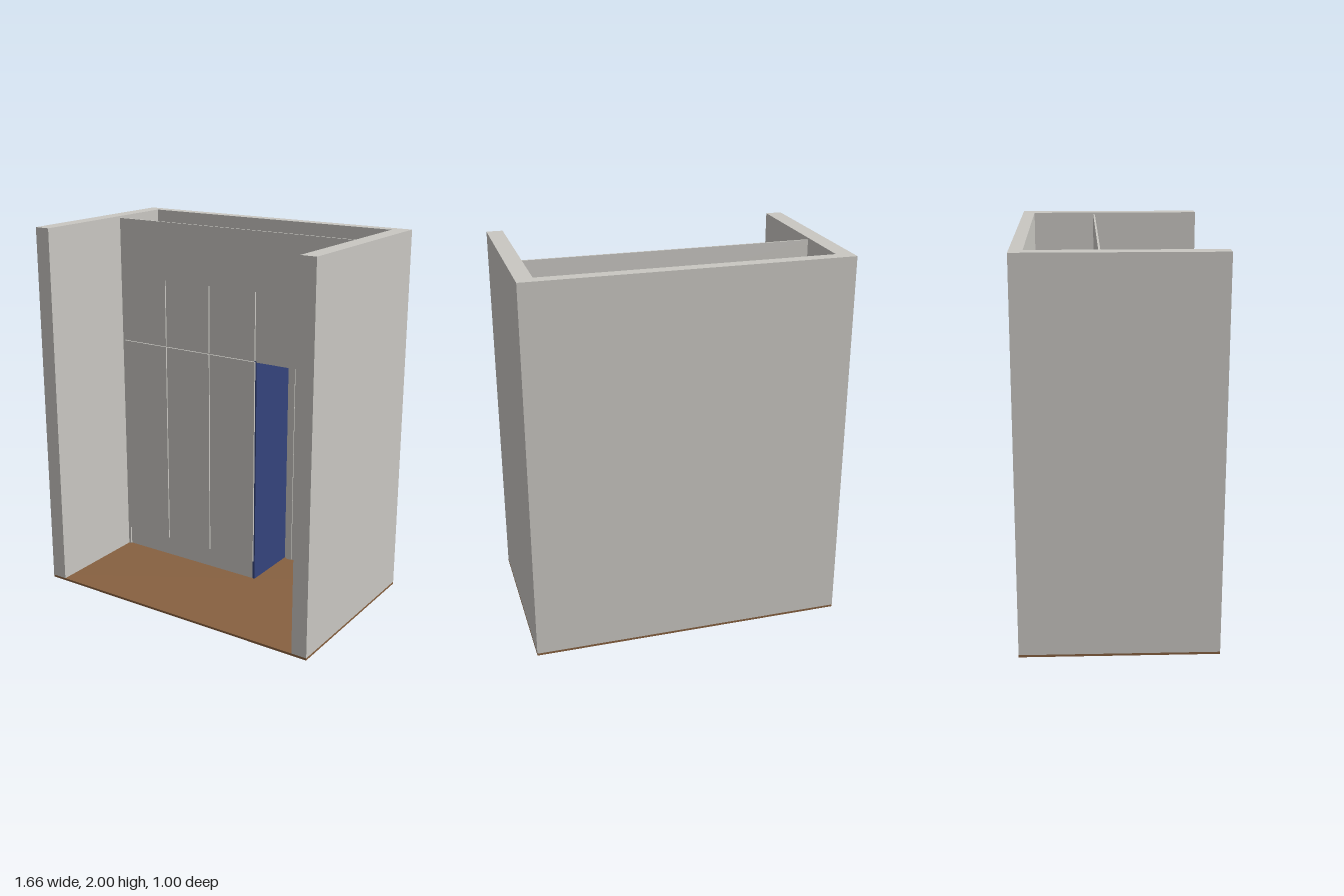
import * as THREE from 'three';

export function createModel() {
  const group = new THREE.Group();
  const mat = (name, color) => {
    const m = new THREE.MeshStandardMaterial({ color });
    m.name = name;
    return m;
  };
  const grey = mat('warm grey', 0xc9c7c2);
  const brown = mat('wood brown', 0x876140);
  const blue = mat('navy blue', 0x34437c);

  // Box given by its lower and upper limits on each axis
  const box = (name, x0, x1, y0, y1, z0, z1, material = grey) => {
    const mesh = new THREE.Mesh(new THREE.BoxGeometry(x1 - x0, y1 - y0, z1 - z0), material);
    mesh.position.set((x0 + x1) / 2, (y0 + y1) / 2, (z0 + z1) / 2);
    mesh.name = name;
    group.add(mesh);
    return mesh;
  };

  const wallBack = -0.435, carcassFront = -0.095, doorFront = -0.085;
  const floorTop = 0.012, doorBottom = 0.12, split = 1.293, cabinetTop = 1.67;
  const inner = 0.745, outer = 0.83;

  // Room shell
  box('floor', -outer, outer, 0, floorTop, -0.5, 0.5, brown);
  box('rightWall', -outer, -inner, floorTop, 2, -0.5, 0.5);
  box('leftWall', inner, outer, floorTop, 2, -0.5, 0.5);
  box('backWall', -inner, inner, floorTop, 2, -0.5, wallBack);

  // Fascia above the cabinets and filler strip beside them
  box('fascia', -inner, inner, cabinetTop, 1.99, carcassFront, doorFront);
  box('fillerStrip', -inner, -0.73, floorTop, cabinetTop, carcassFront, doorFront);

  // Cabinet carcass
  box('sidePanel', 0.143, 0.156, floorTop, cabinetTop, wallBack, carcassFront, blue);
  box('outerPanel', -0.73, -0.718, floorTop, cabinetTop, wallBack, carcassFront);
  box('endPanel', 0.731, 0.743, split, cabinetTop, wallBack, carcassFront);
  box('plinth', -0.73, 0.143, floorTop, doorBottom, -0.11, carcassFront);
  for (const [x0, x1] of [[-0.718, 0.143], [0.156, 0.731]]) {
    box('cabinetTop', x0, x1, cabinetTop - 0.012, cabinetTop, wallBack, carcassFront);
    box('cabinetDeck', x0, x1, split - 0.006, split + 0.006, wallBack, carcassFront);
  }
  box('cabinetBottom', -0.718, 0.143, doorBottom - 0.012, doorBottom, wallBack, carcassFront);
  for (const x of [-0.437, -0.145]) {
    box('partition', x - 0.006, x + 0.006, doorBottom, cabinetTop - 0.012, wallBack, carcassFront);
  }

  // Flush doors: three tall ones and five upper ones, with narrow gaps
  const seams = [-0.733, -0.437, -0.145, 0.151, 0.447, 0.746];
  const gap = 0.003;
  for (let i = 0; i < 5; i++) {
    const x0 = seams[i] + gap, x1 = seams[i + 1] - gap;
    box('upperDoor', x0, x1, split + gap, cabinetTop, carcassFront, doorFront);
    if (i < 3) box('tallDoor', x0, x1, doorBottom, split - gap, carcassFront, doorFront);
  }

  // Room door on the back wall, inside the open recess
  const frame = [0.17, 0.732, 1.25], leaf = [0.205, 0.69, 1.21];
  box('doorFrameRight', frame[0], leaf[0], floorTop, frame[2], wallBack, wallBack + 0.012);
  box('doorFrameLeft', leaf[1], frame[1], floorTop, frame[2], wallBack, wallBack + 0.012);
  box('doorFrameTop', leaf[0], leaf[1], leaf[2], frame[2], wallBack, wallBack + 0.012);
  box('doorLeaf', leaf[0], leaf[1], floorTop, leaf[2], wallBack, wallBack + 0.006);
  const knob = new THREE.Mesh(new THREE.SphereGeometry(0.013, 16, 12), grey);
  knob.position.set(0.65, 0.6, wallBack + 0.016);
  knob.name = 'doorKnob';
  group.add(knob);

  return group;
}
